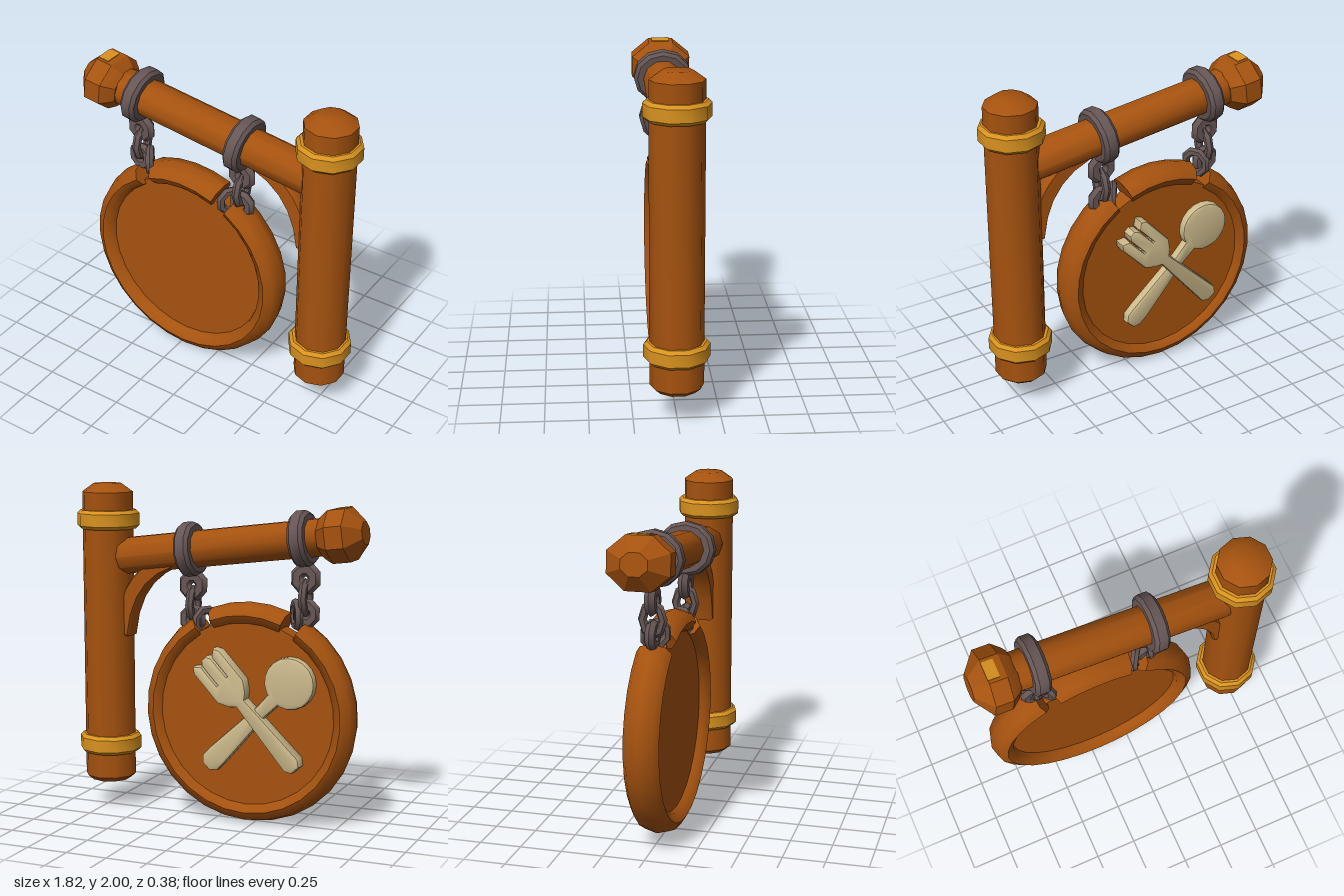
import * as THREE from 'three';
import { toCreasedNormals } from 'three/addons/utils/BufferGeometryUtils.js';

const mat = (name, color) => Object.assign(new THREE.MeshStandardMaterial({ color }), { name });
const V2 = (p) => p.map(([x, y]) => new THREE.Vector2(x, y));

export function createModel() {
  const wood = mat('wood', 0xa5520f);
  const gold = mat('gold', 0xd9921f);
  const iron = mat('iron', 0x665655);
  const bone = mat('bone', 0xcdba8c);
  const model = new THREE.Group();
  model.name = 'hangingSign';

  const add = (parent, name, geo, material, pos = [0, 0, 0], rot = [0, 0, 0], crease = 0.7) => {
    const mesh = new THREE.Mesh(toCreasedNormals(geo, crease), material);
    mesh.name = name;
    mesh.position.set(...pos);
    mesh.rotation.set(...rot);
    parent.add(mesh);
    return mesh;
  };
  const lathe = (pts, sides, start = 0) => new THREE.LatheGeometry(V2(pts), sides, start);
  // closed hoop with chamfered outer edges
  const hoop = (inner, outer, h, sides, c = 0.02) => lathe([
    [inner, -h], [outer - c, -h], [outer, -h + c], [outer, h - c], [outer - c, h], [inner, h], [inner, -h],
  ], sides);

  // Post with two gold bands
  add(model, 'post', lathe([[0, 0.17], [0.12, 0.17], [0.155, 0.2], [0.155, 1.95], [0.085, 2], [0, 2]], 10), wood, [0.727, 0, 0]);
  for (const y of [0.405, 1.785]) add(model, 'postBand', hoop(0.14, 0.19, 0.057, 10), gold, [0.724, y, 0]);

  // Sloping beam; its local y runs outward from the post
  const beam = new THREE.Group();
  beam.name = 'beamAssembly';
  beam.position.set(0.64, 1.562, 0);
  beam.rotation.z = Math.PI / 2 - 0.127;
  model.add(beam);
  add(beam, 'beam', lathe([[0, 0], [0.09, 0], [0.113, 0.03], [0.113, 1.34], [0, 1.34]], 10), wood).scale.z = 1.06;
  const finial = lathe([[0, 1.3], [0.11, 1.3], [0.13, 1.32], [0.165, 1.37], [0.165, 1.475], [0.07, 1.56], [0, 1.56]], 8, Math.PI / 8);
  add(beam, 'finial', finial, wood, [0, 0, 0], [0, 0, 0], 0.3).scale.z = 1.18;
  add(beam, 'finialPlate', new THREE.BoxGeometry(0.008, 0.07, 0.11), gold, [0.153, 1.442, 0]);
  for (const s of [1.184, 0.469]) add(beam, 'beamHoop', hoop(0.108, 0.165, 0.048, 12), iron, [0, s, 0]).scale.z = 1.08;

  // Curved brace under the beam
  const brace = new THREE.Shape();
  brace.moveTo(0.27, 1.52);
  brace.quadraticCurveTo(0.54, 1.43, 0.575, 1.09);
  brace.lineTo(0.625, 1.09);
  brace.lineTo(0.625, 1.22);
  brace.quadraticCurveTo(0.59, 1.43, 0.42, 1.53);
  brace.closePath();
  add(model, 'brace', new THREE.ExtrudeGeometry(brace, {
    depth: 0.1, curveSegments: 5, bevelThickness: 0.015, bevelSize: 0.01, bevelSegments: 1,
  }), wood, [0, 0, -0.05]);

  // Chains: alternating face-on and edge-on links
  const link = (parent, x, y, r, t, rot, sy = 1, sz = 1) =>
    add(parent, 'chainLink', new THREE.TorusGeometry(r, t, 6, 8, Math.PI * 2), iron, [x, y, 0], rot, 0.9).scale.set(1, sy, sz);
  for (const [x, y, side, name] of [[-0.55, 1.485, -1, 'outerChain'], [0.16, 1.41, 1, 'innerChain']]) {
    const chain = new THREE.Group();
    chain.name = name;
    chain.position.set(x, y, 0);
    model.add(chain);
    link(chain, 0, 0, 0.053, 0.043, [0, 0, Math.PI / 8], 1.05, 0.8);
    link(chain, 0, -0.115, 0.06, 0.026, [0, Math.PI / 2, 0], 1.35);
    link(chain, 0.005 * side, -0.205, 0.052, 0.036, [0, 0, Math.PI / 8], 1.05, 0.9);
    link(chain, -0.065 * side - 0.01, -0.215, 0.068, 0.026, [0, side * 1.0, side * 0.4], 1.05);
  }

  // Round sign: board and two capped arcs of frame, leaving notches for the chains
  const sign = new THREE.Group();
  sign.name = 'sign';
  sign.position.set(-0.21, 0.665, 0);
  model.add(sign);
  const board = new THREE.CylinderGeometry(0.57, 0.57, 0.12, 20).rotateX(Math.PI / 2);
  add(sign, 'board', board, wood, [0, 0, -0.015], [0, 0, 0], 0.5);

  const frameArc = (from, to, seg) => {
    const sides = 8;
    const geo = new THREE.TorusGeometry(1, 0.1, sides, seg + 2);
    const p = geo.attributes.position;
    for (let j = 0, n = 0; j <= sides; j++) {
      for (let i = 0; i <= seg + 2; i++, n++) {
        // first and last rings collapse to the centre line to close the ends
        const size = i === 0 || i === seg + 2 ? 0 : 1;
        const k = Math.min(Math.max(i - 1, 0), seg) / seg;
        const a = THREE.MathUtils.degToRad(from + (to - from) * k);
        const v = (j / sides) * Math.PI * 2;
        const r = 0.595 + 0.07 * size * Math.cos(v);
        p.setXYZ(n, r * Math.cos(a), r * Math.sin(a), 0.105 * size * Math.sin(v));
      }
    }
    return geo;
  };
  add(sign, 'frameTop', frameArc(68, 112, 4), wood, [0, 0, 0], [0, 0, 0], 0.9);
  add(sign, 'frame', frameArc(122, 418, 24), wood, [0, 0, 0], [0, 0, 0], 0.9);

  // Crossed fork and spoon on the back of the board
  const cutlery = new THREE.Group();
  cutlery.name = 'cutlery';
  cutlery.rotation.y = Math.PI;
  cutlery.position.z = -0.07;
  sign.add(cutlery);
  const relief = (shape, depth) => new THREE.ExtrudeGeometry(shape, {
    depth, curveSegments: 5, bevelThickness: 0.02, bevelSize: 0.015, bevelSegments: 2,
  });
  const mirrored = (half) => new THREE.Shape(V2([...half, ...half.slice().reverse().map(([x, y]) => [-x, y])]));

  const fork = mirrored([
    [0.025, -0.43], [0.045, -0.4], [0.02, 0.07], [0.06, 0.1], [0.098, 0.16], [0.098, 0.375],
    [0.085, 0.395], [0.06, 0.375], [0.06, 0.22], [0.024, 0.22], [0.024, 0.375], [0.01, 0.395],
  ]);
  add(cutlery, 'fork', relief(fork, 0.06), bone, [0.033, 0.031, 0], [0, 0, 0.75]);

  const spoonHalf = [[0.025, -0.39], [0.05, -0.36], [0.05, -0.3], [0.024, 0.1], [0.03, 0.22]];
  for (let i = 0; i <= 8; i++) {
    const a = -1.2 + (i / 8) * 2.6;
    spoonHalf.push([0.14 * Math.cos(a), 0.35 + 0.14 * Math.sin(a)]);
  }
  add(cutlery, 'spoon', relief(mirrored(spoonHalf), 0.035), bone, [0.04, -0.038, 0], [0, 0, -0.77]);

  return model;
}
